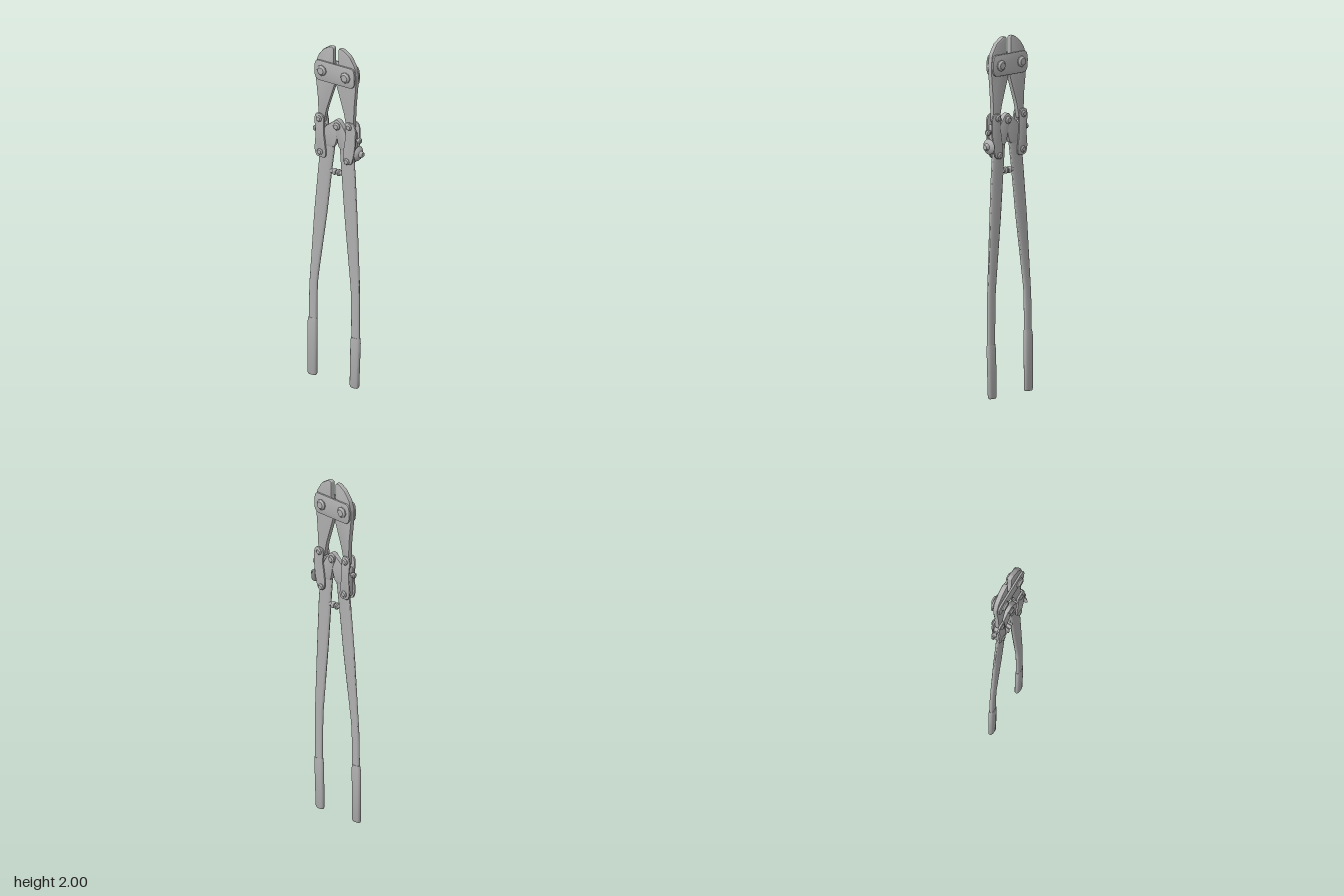
import * as THREE from 'three';
import { toCreasedNormals, mergeVertices } from 'three/addons/utils/BufferGeometryUtils.js';

export function createModel() {
  const model = new THREE.Group();
  model.name = 'boltCutter';
  const steel = new THREE.MeshStandardMaterial({ color: 0xb0b0b0 });
  steel.name = 'steel grey';

  const add = (name, geometry, x = 0, y = 0, z = 0) => {
    const mesh = new THREE.Mesh(geometry, steel);
    mesh.name = name;
    mesh.position.set(x, y, z);
    model.add(mesh);
    return mesh;
  };

  // Bevelled plate from an outline with rounded corners, spanning z0 to z1
  const plate = (name, outline, z0, z1, round = 0.01, bevel = 0.005) => {
    const pts = outline.map(p => new THREE.Vector2(p[0], p[1]));
    const n = pts.length;
    const shape = new THREE.Shape();
    pts.forEach((p, i) => {
      const toward = q => {
        const d = q.clone().sub(p);
        return p.clone().add(d.setLength(Math.min(round, d.length() * 0.45)));
      };
      const a = toward(pts[(i + n - 1) % n]), b = toward(pts[(i + 1) % n]);
      if (i) shape.lineTo(a.x, a.y);
      else shape.moveTo(a.x, a.y);
      shape.quadraticCurveTo(p.x, p.y, b.x, b.y);
    });
    shape.closePath();
    const geometry = new THREE.ExtrudeGeometry(shape, {
      depth: z1 - z0 - 2 * bevel, curveSegments: 5,
      bevelThickness: bevel, bevelSize: bevel, bevelOffset: -bevel, bevelSegments: 2,
    });
    geometry.translate(0, 0, z0 + bevel);
    return add(name, toCreasedNormals(geometry, 0.6));
  };

  // Oval bar through sections of [y, left edge, right edge, half depth]
  const bar = (name, sections) => {
    const N = 20, pos = [], idx = [];
    for (const [y, x0, x1, d] of sections) {
      for (let i = 0; i < N; i++) {
        const t = i / N * Math.PI * 2, c = Math.cos(t), s = Math.sin(t);
        const soft = v => Math.sign(v) * Math.abs(v) ** 0.8;
        pos.push((x0 + x1) / 2 + soft(c) * (x1 - x0) / 2, y, soft(s) * d);
      }
    }
    for (let j = 0; j < sections.length - 1; j++) {
      for (let i = 0; i < N; i++) {
        const a = j * N + i, b = j * N + (i + 1) % N;
        idx.push(a, a + N, b, b, a + N, b + N);
      }
    }
    const last = (sections.length - 1) * N;
    for (let i = 1; i < N - 1; i++) idx.push(0, i, i + 1, last, last + i + 1, last + i);
    const geometry = new THREE.BufferGeometry();
    geometry.setAttribute('position', new THREE.Float32BufferAttribute(pos, 3));
    geometry.setIndex(idx);
    return add(name, toCreasedNormals(geometry, 0.8));
  };

  // Turned part along +z, or along another axis after rotation
  const turned = (name, profile, x, y, z, sides = 16) => {
    const geometry = new THREE.LatheGeometry(profile.map(p => new THREE.Vector2(...p)), sides);
    geometry.rotateX(Math.PI / 2);
    geometry.deleteAttribute('uv');
    geometry.deleteAttribute('normal');
    return add(name, toCreasedNormals(mergeVertices(geometry), 0.7), x, y, z);
  };
  const bolt = (name, x, y, z, r, h, sides = 8) => {
    for (const side of [1, -1]) {
      const head = turned(name, [[r, 0], [r, h * 0.45], [r * 0.65, h], [0, h]], x, y, side * z, sides);
      if (side < 0) head.rotation.y = Math.PI;
    }
  };

  // Handles and grips
  bar('rightHandle', [
    [0.33, -0.178, -0.125, 0.012], [0.5, -0.175, -0.123, 0.012], [0.57, -0.172, -0.12, 0.012],
    [0.62, -0.168, -0.114, 0.012], [1.0, -0.14, -0.056, 0.012], [1.25, -0.115, -0.025, 0.012],
    [1.4, -0.1, -0.004, 0.012], [1.47, -0.075, 0.008, 0.011],
  ]);
  bar('rightGrip', [
    [0.01, -0.181, -0.131, 0.011], [0.02, -0.186, -0.126, 0.015], [0.32, -0.185, -0.123, 0.015],
    [0.35, -0.179, -0.124, 0.013],
  ]);
  bar('leftHandle', [
    [0.28, 0.108, 0.162, 0.012], [0.5, 0.106, 0.163, 0.012], [0.57, 0.104, 0.163, 0.012],
    [0.62, 0.1, 0.161, 0.012], [1.0, 0.062, 0.146, 0.012], [1.25, 0.042, 0.134, 0.012],
    [1.4, 0.03, 0.122, 0.012], [1.47, 0.024, 0.1, 0.011],
  ]);
  bar('leftGrip', [
    [0, 0.102, 0.15, 0.011], [0.012, 0.097, 0.156, 0.015], [0.27, 0.102, 0.166, 0.015],
    [0.3, 0.106, 0.165, 0.013],
  ]);

  // Overlapping handle heads meeting at the centre pivot
  plate('rightHandleHead', [[-0.085, 1.4], [-0.07, 1.51], [0.01, 1.57], [0.04, 1.545], [0.03, 1.5], [0.0, 1.4]],
    -0.013, 0.013, 0.025);
  plate('leftHandleHead', [[0.03, 1.4], [0.012, 1.5], [-0.01, 1.54], [0.005, 1.572], [0.035, 1.572], [0.08, 1.51], [0.115, 1.4]],
    -0.016, 0.016, 0.025);
  bolt('pivotBolt', 0.02, 1.535, 0.015, 0.022, 0.014);

  // Cutting jaws
  plate('rightJaw', [[-0.004, 1.998], [-0.03, 2.0], [-0.075, 1.972], [-0.112, 1.925], [-0.128, 1.865], [-0.126, 1.79],
    [-0.113, 1.68], [-0.106, 1.53], [-0.07, 1.53], [-0.05, 1.62], [0.003, 1.775], [0.008, 1.86], [-0.004, 1.9]],
    -0.015, 0.015, 0.012, 0.009);
  plate('leftJaw', [[0.026, 1.998], [0.026, 1.9], [0.01, 1.86], [0.012, 1.775], [0.062, 1.62], [0.08, 1.53],
    [0.128, 1.53], [0.136, 1.68], [0.146, 1.79], [0.149, 1.85], [0.14, 1.91], [0.105, 1.967], [0.052, 2.0]],
    -0.015, 0.015, 0.012, 0.009);

  // Jaw plates, links and their bolts
  for (const [side, z0, z1] of [['front', 0.015, 0.028], ['back', -0.028, -0.015]]) {
    plate(side + 'JawPlate', [[-0.115, 1.906], [0.135, 1.906], [0.146, 1.87], [0.144, 1.805], [0.122, 1.786],
      [-0.105, 1.786], [-0.124, 1.81], [-0.126, 1.87]], z0, z1, 0.02);
    plate(side + 'RightLink', [[-0.118, 1.588], [-0.072, 1.588], [-0.06, 1.55], [-0.062, 1.47], [-0.046, 1.35],
      [-0.058, 1.328], [-0.112, 1.33], [-0.126, 1.37], [-0.117, 1.47], [-0.127, 1.55]], z0 * 0.9, z1 * 0.95, 0.02);
    plate(side + 'LeftLink', [[0.085, 1.58], [0.135, 1.58], [0.152, 1.55], [0.15, 1.46], [0.138, 1.385], [0.122, 1.33],
      [0.078, 1.328], [0.064, 1.36], [0.072, 1.43], [0.084, 1.5], [0.077, 1.55]], z0 * 0.9, z1 * 0.95, 0.02);
  }
  bolt('jawBolt', -0.072, 1.85, 0.026, 0.031, 0.018);
  bolt('jawBolt', 0.087, 1.845, 0.026, 0.031, 0.018);
  for (const [x, y] of [[-0.093, 1.557], [-0.086, 1.362], [0.108, 1.555], [0.093, 1.347]])
    bolt('linkBolt', x, y, 0.024, 0.019, 0.012);

  // Link cores with adjusting screws on their outer sides
  plate('rightLinkCore', [[-0.115, 1.52], [-0.07, 1.52], [-0.06, 1.35], [-0.112, 1.35]], -0.016, 0.016);
  plate('leftLinkCore', [[0.09, 1.52], [0.14, 1.52], [0.134, 1.36], [0.08, 1.35]], -0.016, 0.016);
  const screw = [[0.01, 0], [0.01, 0.025], [0.016, 0.025], [0.016, 0.037], [0.01, 0.042], [0, 0.042]];
  turned('rightAdjustingScrew', screw, -0.104, 1.482, 0, 10).rotation.y = -Math.PI / 2;
  turned('leftAdjustingScrew', screw, 0.13, 1.478, 0, 10).rotation.y = Math.PI / 2;

  // Adjusting knob with a flared rim
  turned('adjustingKnob', [[0.012, 0], [0.02, 0.03], [0.043, 0.034], [0.034, 0.043], [0.02, 0.05], [0.016, 0.06],
    [0.013, 0.067], [0, 0.067]], 0.118, 1.4, 0, 20).rotation.y = Math.PI / 2;

  // Stop bumpers between the handles
  const bumper = [[0.012, 0], [0.012, 0.015], [0.019, 0.02], [0.019, 0.029], [0.013, 0.036], [0, 0.036]];
  turned('rightBumper', bumper, -0.03, 1.255, 0).rotation.y = Math.PI / 2;
  turned('leftBumper', bumper, 0.047, 1.255, 0).rotation.y = -Math.PI / 2;

  return model;
}
